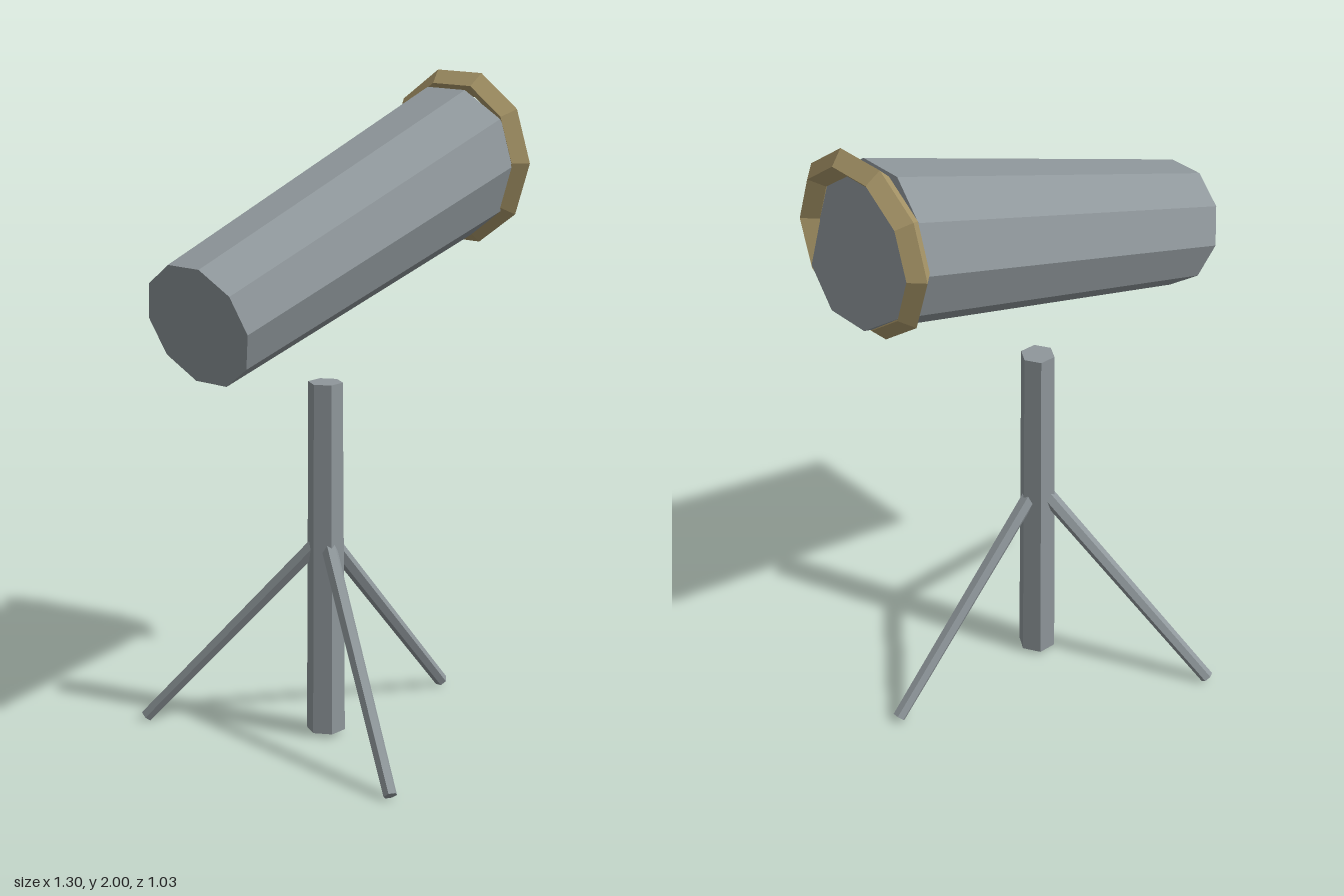
import * as THREE from 'three';

export function createModel() {
  const model = new THREE.Group();
  model.name = 'telescope';

  const greyMetal = new THREE.MeshStandardMaterial({ color: 0x8f979b, flatShading: true });
  greyMetal.name = 'grey metal';
  const brass = new THREE.MeshStandardMaterial({ color: 0xa89668, flatShading: true });
  brass.name = 'brass';

  const add = (parent, name, geometry, material, x, y, z = 0) => {
    const mesh = new THREE.Mesh(geometry, material);
    mesh.name = name;
    mesh.position.set(x, y, z);
    parent.add(mesh);
    return mesh;
  };

  // Ten-sided barrel, tilted upwards and wider at the open end
  const barrel = add(model, 'barrel',
    new THREE.CylinderGeometry(0.237, 0.193, 1.238, 10), greyMetal, -0.008, 1.556, -0.002);
  barrel.rotation.z = THREE.MathUtils.degToRad(17 - 90);

  // Upright rim ring with a diamond section
  const ring = add(model, 'rimRing',
    new THREE.TorusGeometry(0.237, 0.04, 4, 10), brass, 0.585, 1.737, -0.002);
  ring.rotation.y = Math.PI / 2;

  // Stand: hexagonal pole with three splayed legs
  const stand = new THREE.Group();
  stand.name = 'tripod';
  stand.position.x = -0.054;
  model.add(stand);

  add(stand, 'pole',
    new THREE.CylinderGeometry(0.053, 0.06, 1.105, 6, 1, false, Math.PI / 6), greyMetal, 0, 0.5675);

  const top = new THREE.Vector2(0.03, 0.61);
  const foot = new THREE.Vector2(0.575, 0.015);
  const legGeometry = new THREE.CylinderGeometry(0.025, 0.021, top.distanceTo(foot), 6);
  for (let i = 0; i < 3; i++) {
    const pivot = new THREE.Group();
    pivot.name = `legPivot${i + 1}`;
    pivot.rotation.y = (i * Math.PI * 2) / 3;
    stand.add(pivot);
    const leg = add(pivot, `leg${i + 1}`, legGeometry, greyMetal,
      (top.x + foot.x) / 2, (top.y + foot.y) / 2);
    leg.rotation.z = Math.atan2(foot.x - top.x, top.y - foot.y);
  }

  return model;
}
